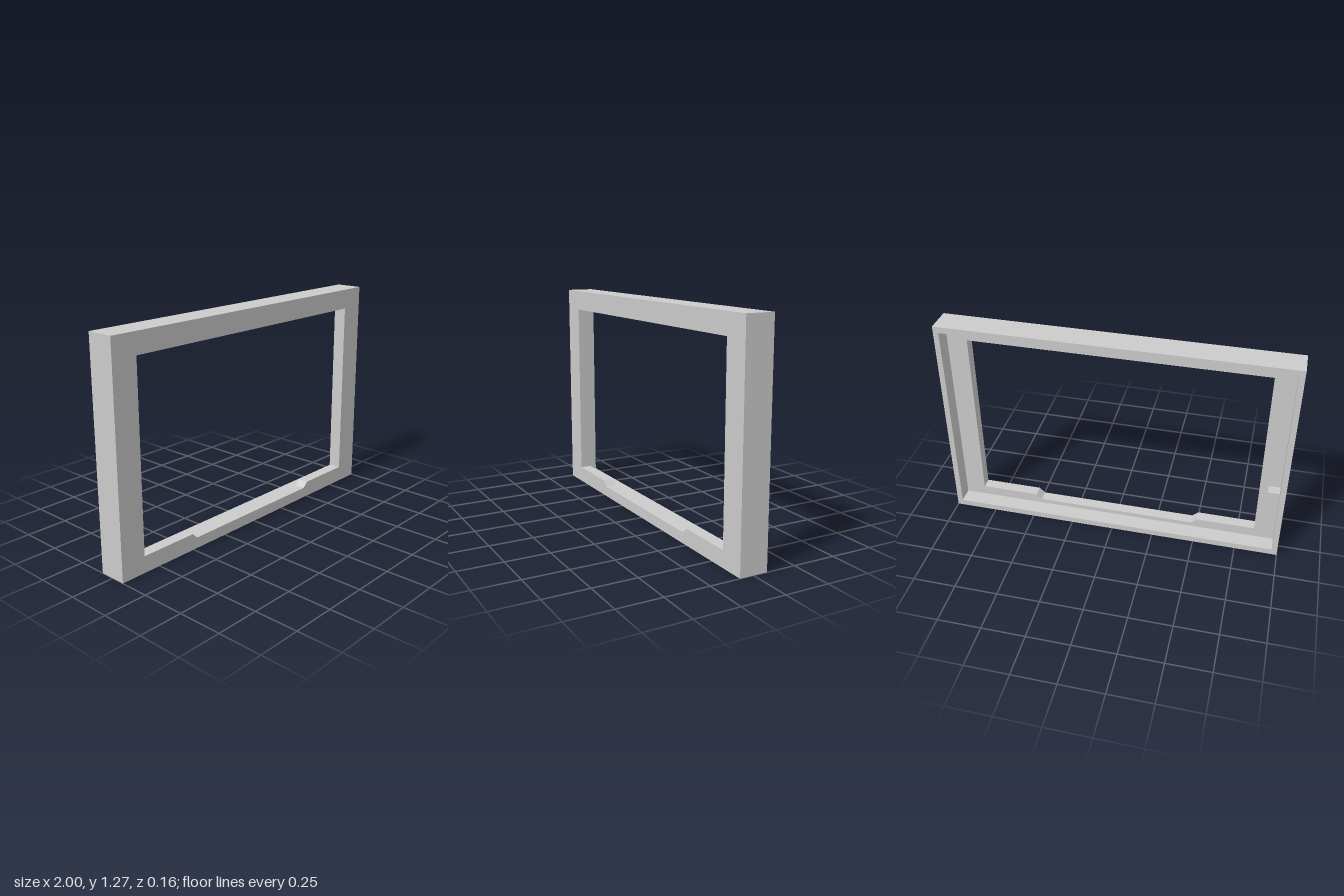
import * as THREE from 'three';

const material = new THREE.MeshStandardMaterial({ color: 0xcccccc });

// Depth levels, back to front
const BACK = -0.08, LEDGE = 0.015, POCKET = 0.074, FRONT = 0.08;

// Counter-clockwise rectangle
const rect = (x0, y0, x1, y1) => [[x0, y0], [x1, y0], [x1, y1], [x0, y1]];

const toPath = (points, PathType) => new PathType(points.map(([x, y]) => new THREE.Vector2(x, y)));

// Flat face at depth z, with optional holes, turned to the front (+z) or the back
function face(name, outline, holes, z, toFront) {
  const shape = toPath(outline, THREE.Shape);
  shape.holes = holes.map((h) => toPath(h, THREE.Path));
  const geometry = new THREE.ShapeGeometry(shape);
  geometry.translate(0, 0, z);
  if (!toFront) geometry.index.array.reverse();
  geometry.computeVertexNormals();
  const mesh = new THREE.Mesh(geometry, material);
  mesh.name = name;
  return mesh;
}

// Straight walls along a closed counter-clockwise outline, facing outward or inward
function walls(name, outline, z0, z1, inward) {
  const loop = inward ? [...outline].reverse() : outline;
  const positions = [];
  loop.forEach((a, i) => {
    const b = loop[(i + 1) % loop.length];
    positions.push(...a, z0, ...b, z0, ...b, z1, ...a, z0, ...b, z1, ...a, z1);
  });
  const geometry = new THREE.BufferGeometry();
  geometry.setAttribute('position', new THREE.Float32BufferAttribute(positions, 3));
  geometry.computeVertexNormals();
  const mesh = new THREE.Mesh(geometry, material);
  mesh.name = name;
  return mesh;
}

export function createModel() {
  const outer = rect(-1, 0, 1, 1.27);
  const recess = rect(-0.968, 0.036, 0.968, 1.234);
  const pocket = rect(-0.968, 0.385, -0.9, 0.897);

  // Window opening with a shallow chamfered dip in its lower edge
  const opening = [
    [-0.85, 0.095], [-0.505, 0.095], [-0.472, 0.063], [0.472, 0.063],
    [0.505, 0.095], [0.85, 0.095], [0.85, 1.152], [-0.85, 1.152],
  ];

  // Ledge outline steps around the pocket at the side wall
  const ledge = [...recess, pocket[3], pocket[2], pocket[1], pocket[0]];

  const frame = new THREE.Group();
  frame.name = 'frame';
  frame.add(
    face('frontFace', outer, [opening], FRONT, true),
    walls('outerSides', outer, BACK, FRONT, false),
    walls('openingSides', opening, LEDGE, FRONT, true),
    face('backRim', outer, [recess], BACK, false),
    walls('recessWalls', recess, BACK, LEDGE, true),
    face('recessLedge', ledge, [opening], LEDGE, false),
    walls('pocketWalls', pocket, LEDGE, POCKET, true),
    face('pocketFloor', pocket, [], POCKET, false),
  );

  const model = new THREE.Group();
  model.name = 'windowFrame';
  model.add(frame);
  return model;
}
